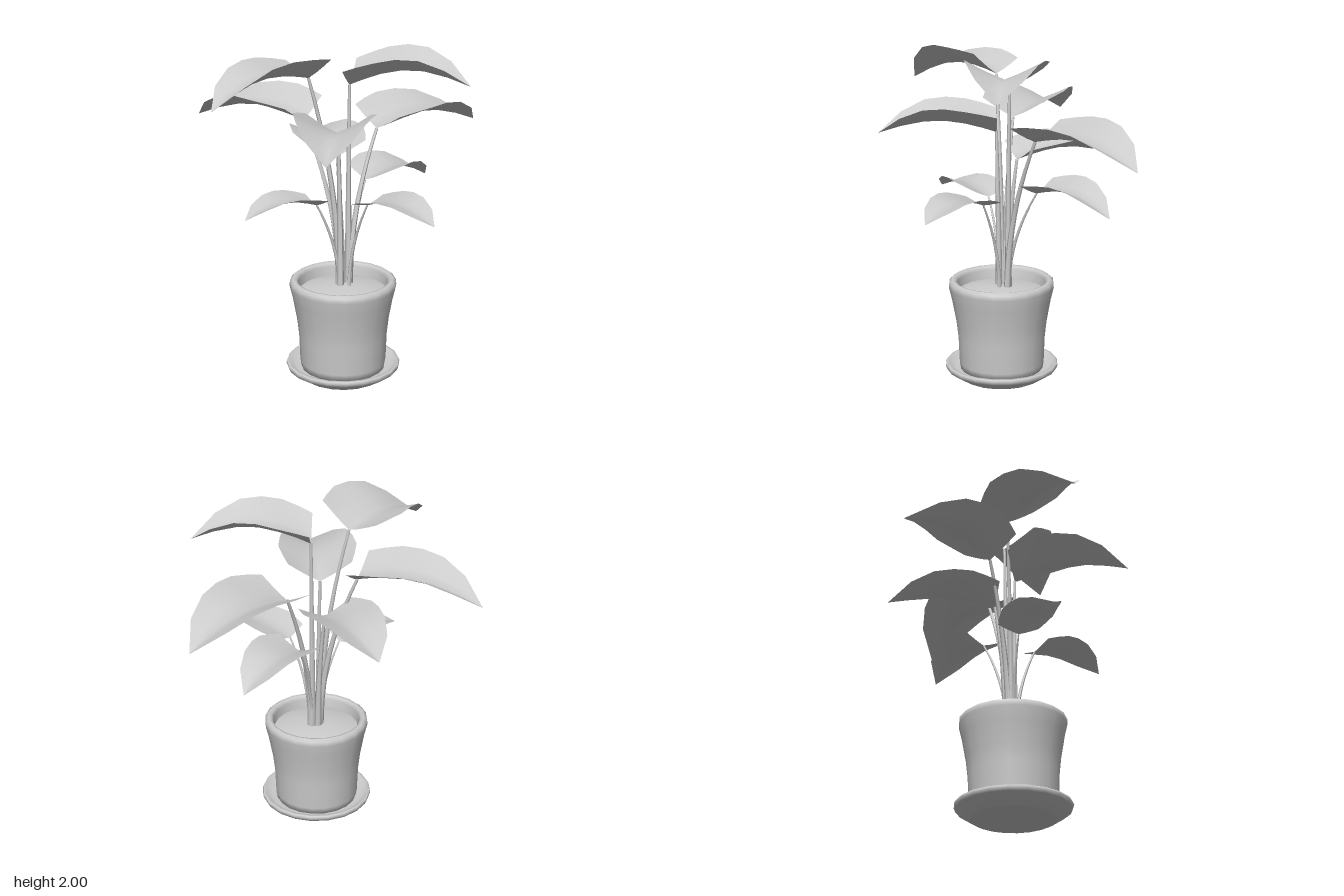
import * as THREE from 'three';

const material = new THREE.MeshStandardMaterial({ color: 0xcccccc, side: THREE.DoubleSide });
const POT_X = 0.12, POT_Z = 0.095;

function addMesh(parent, name, geometry) {
  const mesh = new THREE.Mesh(geometry, material);
  mesh.name = name;
  parent.add(mesh);
  return mesh;
}

// Lathe part standing on the pot axis
function addTurned(parent, name, profile) {
  const points = profile.map(([r, y]) => new THREE.Vector2(r, y));
  addMesh(parent, name, new THREE.LatheGeometry(points, 20)).position.set(POT_X, 0, POT_Z);
}

// Leaf outline: [position along the leaf, share of the half width, share of the edge lift]
const OUTLINE = [
  [0, 0.8, 1.05], [0.12, 0.91, 1.03], [0.26, 1, 1], [0.43, 0.93, 0.97],
  [0.61, 0.81, 0.9], [0.81, 0.55, 0.6], [1, 0.01, 0],
];
const ACROSS = [-1, -0.66, -0.33, 0, 0.33, 0.66, 1];

// Leaf blade: arched midrib with both edges raised into a soft V
function leafGeometry({ base, tip, half, arch, lift, roll = 0 }) {
  const a = new THREE.Vector3(...base), b = new THREE.Vector3(...tip);
  const forward = b.clone().sub(a).setY(0).normalize();
  const side = new THREE.Vector3(forward.z, 0, -forward.x);
  const positions = [], indices = [], n = ACROSS.length;
  OUTLINE.forEach(([t, width, rise], row) => {
    const mid = a.clone().lerp(b, t);
    mid.y += arch * Math.sin(Math.PI * t);
    ACROSS.forEach((s, col) => {
      const p = mid.clone().addScaledVector(side, s * half * width);
      p.y += rise * (lift * Math.abs(s) ** 1.15 + roll * s);
      positions.push(p.x, p.y, p.z);
      if (row && col) {
        const i = row * n + col;
        indices.push(i - n - 1, i - 1, i - n, i - n, i - 1, i);
      }
    });
  });
  const geometry = new THREE.BufferGeometry();
  geometry.setAttribute('position', new THREE.Float32BufferAttribute(positions, 3));
  geometry.setIndex(indices);
  geometry.computeVertexNormals();
  return geometry;
}

// Stem: rises straight from the soil, bends out to the leaf and tapers
function stemGeometry({ base, half }) {
  const end = new THREE.Vector3(...base);
  const out = new THREE.Vector3(end.x - POT_X, 0, end.z - 0.08);
  out.setLength(Math.min(0.035, out.length()));
  const root = new THREE.Vector3(POT_X, 0.55, 0.08).add(out);
  const bend = new THREE.Vector3(root.x, (root.y + end.y) / 2, root.z);
  const curve = new THREE.QuadraticBezierCurve3(root, bend, end);
  const radius = half > 0.2 ? 0.022 : 0.013;
  const steps = 10, sides = 6;
  const geometry = new THREE.TubeGeometry(curve, steps, radius, sides);
  const p = geometry.attributes.position, v = new THREE.Vector3();
  for (let i = 0; i < p.count; i++) {
    const t = Math.floor(i / (sides + 1)) / steps;
    const centre = curve.getPointAt(t);
    v.fromBufferAttribute(p, i).sub(centre).multiplyScalar(1 - 0.6 * t).add(centre);
    p.setXYZ(i, v.x, v.y, v.z);
  }
  geometry.computeVertexNormals();
  return geometry;
}

const LEAVES = [
  // Top pair
  { name: 'topFrontLeaf', base: [0.0, 1.83, 0.25], tip: [0.04, 1.745, 0.935], half: 0.245, arch: 0.08, lift: 0.1, roll: 0.03 },
  { name: 'topLeftLeaf', base: [0.105, 1.78, 0.035], tip: [0.643, 1.8, -0.406], half: 0.245, arch: 0.09, lift: 0.11 },
  // Large middle leaves
  { name: 'backLeaf', base: [0.105, 1.49, -0.17], tip: [0.115, 1.43, -0.94], half: 0.255, arch: 0.08, lift: 0.1 },
  { name: 'frontRightLeaf', base: [-0.1, 1.56, 0.21], tip: [-0.808, 1.5, 0.476], half: 0.25, arch: 0.08, lift: 0.1 },
  { name: 'frontLeftLeaf', base: [0.12, 1.51, 0.13], tip: [0.62, 1.51, 0.61], half: 0.235, arch: 0.07, lift: 0.11 },
  { name: 'middleRightLeaf', base: [0.02, 1.34, 0.06], tip: [-0.583, 1.32, -0.17], half: 0.22, arch: 0.06, lift: 0.08 },
  // Small low leaves
  { name: 'lowLeftLeaf', base: [0.3, 1.11, 0.06], tip: [0.808, 1.1, 0.0], half: 0.165, arch: 0.065, lift: 0.035 },
  { name: 'lowFrontLeaf', base: [0.07, 1.09, 0.25], tip: [0.02, 1.08, 0.72], half: 0.165, arch: 0.055, lift: 0.045, roll: 0.012 },
  { name: 'lowBackLeaf', base: [0.05, 1.17, -0.13], tip: [0.0, 1.1, -0.65], half: 0.19, arch: 0.07, lift: 0.065 },
];

export function createModel() {
  const model = new THREE.Group();
  model.name = 'pottedPlant';

  // Saucer, pot and soil
  addTurned(model, 'saucer', [
    [0, 0], [0.24, 0], [0.255, 0.008], [0.335, 0.06], [0.343, 0.08], [0.338, 0.093],
    [0.32, 0.095], [0.28, 0.06], [0, 0.05],
  ]);
  addTurned(model, 'pot', [
    [0, 0.055], [0.25, 0.055], [0.258, 0.1], [0.264, 0.26], [0.275, 0.36], [0.3, 0.5], [0.318, 0.575],
    [0.316, 0.605], [0.298, 0.619], [0.278, 0.615], [0.266, 0.595], [0.255, 0.5],
  ]);
  addTurned(model, 'soil', [[0.262, 0.54], [0.2, 0.56], [0.1, 0.575], [0, 0.58]]);

  // Stems with their leaves
  for (const leaf of LEAVES) {
    const group = new THREE.Group();
    group.name = leaf.name;
    addMesh(group, 'stem', stemGeometry(leaf));
    addMesh(group, 'blade', leafGeometry(leaf));
    model.add(group);
  }
  return model;
}
